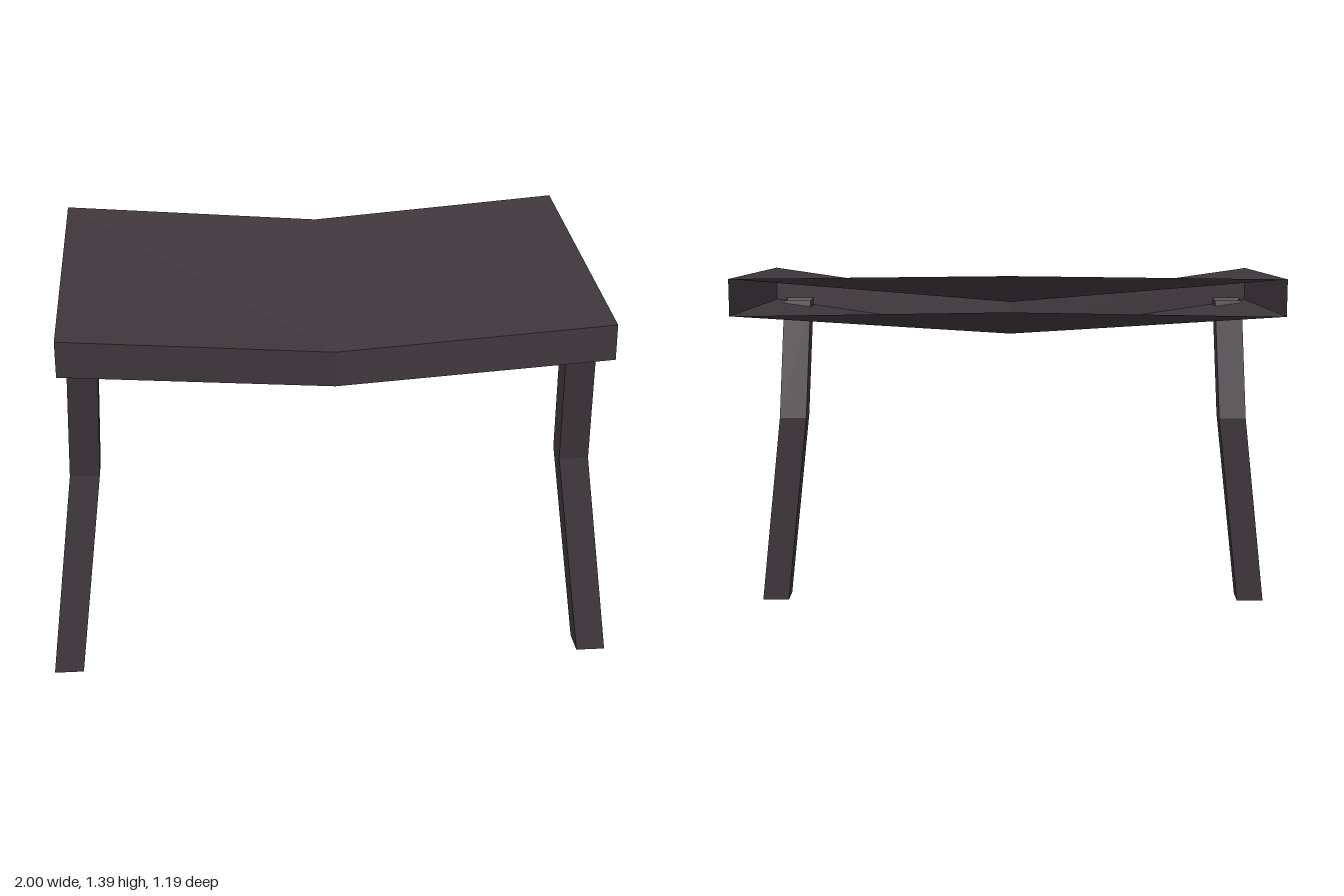
import * as THREE from 'three';

// Flat-shaded open surface from quads; each quad splits along its first-to-third corner
function facets(quads, flip, material, name) {
  const pos = [];
  for (const [a, b, c, d] of quads) {
    for (const t of [[a, b, c], [a, c, d]]) {
      if (flip) t.reverse();
      t.forEach(p => pos.push(...p));
    }
  }
  const g = new THREE.BufferGeometry();
  g.setAttribute('position', new THREE.Float32BufferAttribute(pos, 3));
  g.computeVertexNormals();
  const mesh = new THREE.Mesh(g, material);
  mesh.name = name;
  return mesh;
}

export function createModel() {
  const model = new THREE.Group();
  model.name = 'bench';
  const dark = new THREE.MeshStandardMaterial({ color: 0x3e363b, side: THREE.DoubleSide });
  dark.name = 'darkWood';

  for (const s of [1, -1]) {
    const side = s > 0 ? 'left' : 'right';

    // Seat half: hollow sagging slab, open along the back edge
    const cx = 0.01, ex = cx + 0.93 * s, t = 0.125;
    const low = ([x, y, z]) => [x, y - t, z];
    const fm = [cx, 1.19, 0.46], fo = [ex, 1.31, 0.592];
    const bm = [cx, 1.38, -0.4], bo = [ex, 1.39, -0.595];
    model.add(facets([
      [fm, fo, bo, bm],
      [low(bo), low(fo), low(fm), low(bm)].map((_, i, q) => q[(i + 2) % 4]),
      [low(fm), low(fo), fo, fm],
      [low(fo), low(bo), bo, fo],
    ], s < 0, dark, side + 'Seat'));

    // Front leg: square tube bent at the knee, open at the foot
    const h = 0.0515;
    const rings = [[0.948, 0, 0.446], [0.855, 0.75, 0.386], [0.838, 1.2, 0.472]].map(([x, y, z]) =>
      [[h, h], [h, -h], [-h, -h], [-h, h]].map(([dx, dz]) => [s * (x + dx), y, z + dz]));
    const quads = [];
    for (let r = 0; r < 2; r++) {
      for (let i = 0; i < 4; i++) {
        const j = (i + 1) % 4;
        quads.push([rings[r][i], rings[r][j], rings[r + 1][j], rings[r + 1][i]]);
      }
    }
    model.add(facets(quads, s < 0, dark, side + 'FrontLeg'));
  }
  return model;
}
